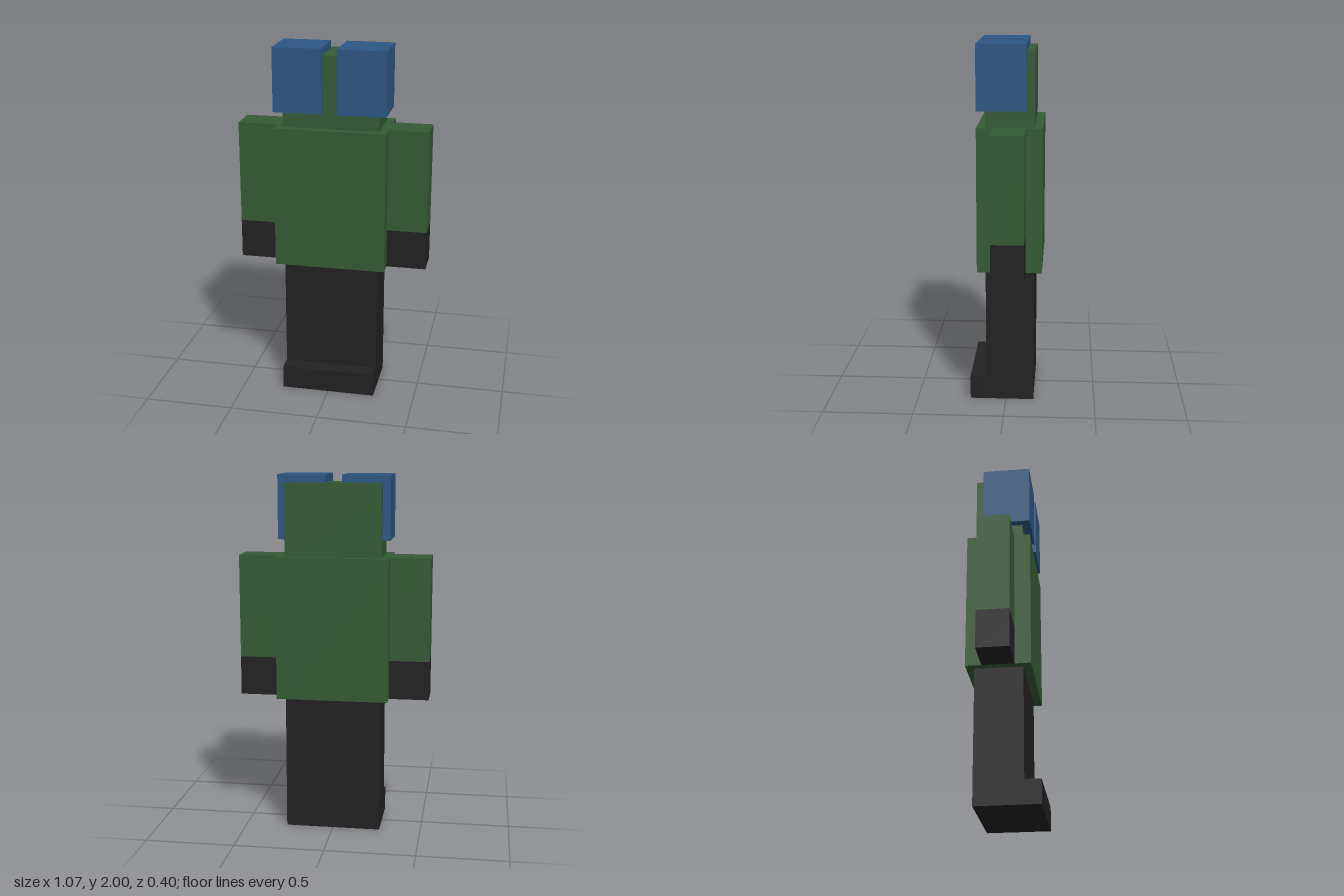
import * as THREE from 'three';

export function createModel() {
  const model = new THREE.Group();
  model.name = 'blockFigure';

  const paint = (name, color) => {
    const m = new THREE.MeshStandardMaterial({ color });
    m.name = name;
    return m;
  };
  const green = paint('green', 0x355b34);
  const blue = paint('blue', 0x2d5785);
  const black = paint('black', 0x222222);

  // Box between two limits on each axis
  function block(name, material, [x0, x1], [y0, y1], [z0, z1]) {
    const mesh = new THREE.Mesh(new THREE.BoxGeometry(x1 - x0, y1 - y0, z1 - z0), material);
    mesh.position.set((x0 + x1) / 2, (y0 + y1) / 2, (z0 + z1) / 2);
    mesh.name = name;
    model.add(mesh);
  }

  // Heights of the joints
  const hip = 0.762, wrist = 0.98, shoulder = 1.556;

  // Legs with the feet stepping forward
  block('legs', black, [-0.267, 0.267], [0, hip], [-0.156, 0.111]);
  block('feet', black, [-0.267, 0.267], [0, 0.134], [0.111, 0.2]);

  // Torso and head
  block('torso', green, [-0.311, 0.311], [hip, shoulder], [-0.2, 0.156]);
  block('head', green, [-0.267, 0.267], [shoulder, 1.957], [-0.156, 0.111]);

  // Mirrored arms, hands and big block eyes
  for (const [side, s] of [['left', 1], ['right', -1]]) {
    const span = (a, b) => (s > 0 ? [a, b] : [-b, -a]);
    block(side + 'Arm', green, span(0.311, 0.533), [wrist, shoulder], [-0.111, 0.067]);
    block(side + 'Hand', black, span(0.311, 0.533), [hip, wrist], [-0.111, 0.067]);
    block(side + 'Eye', blue, span(0.044, 0.311), [1.647, 2], [-0.111, 0.156]);
  }

  return model;
}
